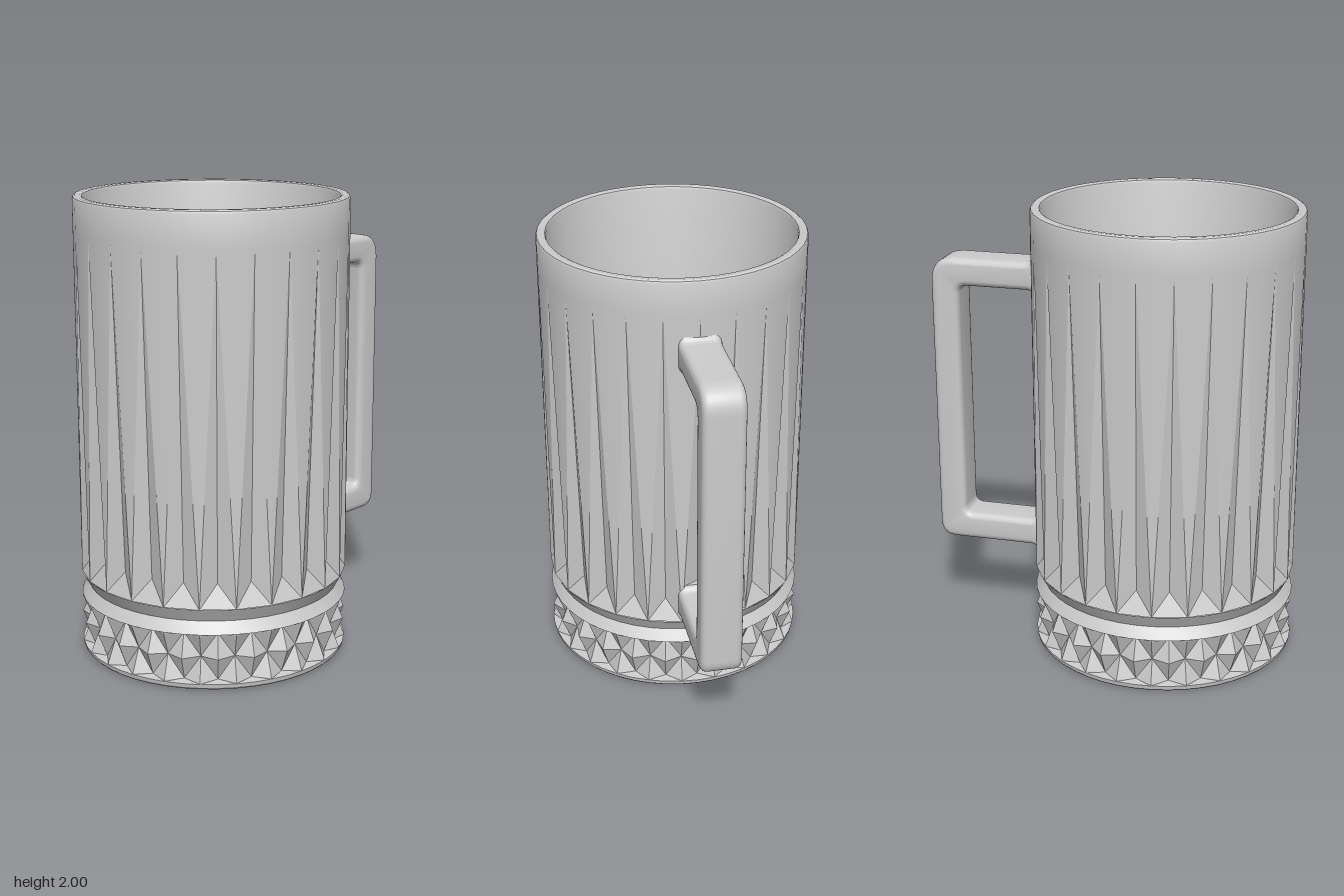
import * as THREE from 'three';
import { toCreasedNormals } from 'three/addons/utils/BufferGeometryUtils.js';

const R = 0.585;        // outer radius of the body
const N = 24;           // flutes around the body
const CX = -0.235;      // body axis
const material = new THREE.MeshStandardMaterial({ color: 0xcccccc });

// Point on the body: a counts flutes around the axis, starting at the front
const at = (a, r, y) => {
  const t = (a / N) * Math.PI * 2;
  return [r * Math.sin(t), y, r * Math.cos(t)];
};

function makeMesh(name, geometry, crease) {
  const mesh = new THREE.Mesh(toCreasedNormals(geometry, crease), material);
  mesh.name = name;
  return mesh;
}

function fromTriangles(points) {
  const g = new THREE.BufferGeometry();
  g.setAttribute('position', new THREE.Float32BufferAttribute(points.flat(), 3));
  return g;
}

function lathe(name, profile, crease = 0.5) {
  const pts = profile.map(([r, y]) => new THREE.Vector2(r, y));
  return makeMesh(name, new THREE.LatheGeometry(pts, N * 2), crease);
}

// Long V-cuts that widen and deepen downwards, each closed by a sloping facet
function flutes() {
  const top = 1.85, low = 0.36, p = [];
  for (let k = 0; k < N; k++) {
    const tip = at(k, R, top), valley = at(k, R - 0.045, 0.46);
    const left = at(k - 0.5, R, low), right = at(k + 0.5, R, low);
    const mid = at(k + 0.5, R, top), next = at(k + 1, R, top);
    p.push(tip, left, valley, tip, valley, right, left, right, valley);
    p.push(tip, right, mid, mid, right, next);
  }
  return makeMesh('flutedWall', fromTriangles(p), 0.2);
}

// Band of small pyramids divided by crossing diagonal grooves
function diamondBand() {
  const ys = [0.03, 0.037, 0.14, 0.243, 0.25], p = [];
  const sunk = (j, row) => row > 0 && row < 4 && (j + row) % 2 === 1;
  const v = (j, row) => at(j / 2, sunk(j, row) ? R - 0.042 : R, ys[row]);
  for (let row = 0; row < 4; row++) {
    for (let j = 0; j < N * 2; j++) {
      const a = v(j, row), b = v(j + 1, row), c = v(j + 1, row + 1), d = v(j, row + 1);
      if (sunk(j, row) || sunk(j + 1, row + 1)) p.push(a, b, c, a, c, d);
      else p.push(a, b, d, b, c, d);
    }
  }
  return makeMesh('diamondBand', fromTriangles(p), 0.1);
}

// Squared loop with rounded corners and small flares at the wall
function handle() {
  const s = new THREE.Shape();
  s.moveTo(0.31, 1.765);
  s.lineTo(0.342, 1.765);
  s.quadraticCurveTo(0.352, 1.732, 0.39, 1.732);
  s.lineTo(0.7, 1.732);
  s.quadraticCurveTo(0.815, 1.732, 0.815, 1.62);
  s.lineTo(0.815, 0.47);
  s.quadraticCurveTo(0.815, 0.395, 0.74, 0.395);
  s.lineTo(0.38, 0.395);
  s.quadraticCurveTo(0.35, 0.395, 0.342, 0.37);
  s.lineTo(0.295, 0.37);
  s.lineTo(0.295, 0.55);
  s.lineTo(0.342, 0.55);
  s.quadraticCurveTo(0.35, 0.522, 0.38, 0.522);
  s.lineTo(0.65, 0.522);
  s.quadraticCurveTo(0.688, 0.522, 0.688, 0.56);
  s.lineTo(0.688, 1.57);
  s.quadraticCurveTo(0.688, 1.607, 0.65, 1.607);
  s.lineTo(0.38, 1.607);
  s.quadraticCurveTo(0.35, 1.607, 0.342, 1.58);
  s.lineTo(0.31, 1.58);
  s.closePath();
  const b = 0.03, width = 0.18;
  const g = new THREE.ExtrudeGeometry(s, {
    depth: width - 2 * b, bevelThickness: b, bevelSize: b, bevelOffset: -b,
    bevelSegments: 5, curveSegments: 10,
  });
  g.translate(0, 0, b - width / 2);
  return makeMesh('handle', g, 0.6);
}

export function createModel() {
  const model = new THREE.Group();
  model.name = 'mug';

  const body = new THREE.Group();
  body.name = 'body';
  body.position.x = CX;

  // Plain upper wall, rounded rim, tapering inside and filleted floor
  const inside = [[R, 1.85], [R, 1.985], [0.581, 1.995], [0.573, 2], [0.553, 2],
    [0.545, 1.996], [0.541, 1.985], [0.5, 0.34]];
  for (let i = 1; i <= 10; i++) {
    const t = (i / 10) * Math.PI / 2;
    inside.push([0.36 + 0.14 * Math.cos(t), 0.34 - 0.16 * Math.sin(t)]);
  }
  inside.push([0, 0.18]);

  body.add(
    lathe('rimAndInside', inside),
    flutes(),
    lathe('neckGroove', [[R, 0.25], [0.553, 0.3], [R, 0.36]], 0.3),
    diamondBand(),
    // Hollowed underside and rounded foot
    lathe('foot', [[0, 0.05], [0.4, 0.045], [0.45, 0.035], [0.485, 0.012], [0.505, 0],
      [0.56, 0], [0.573, 0.004], [0.582, 0.014], [R, 0.03]]),
  );
  model.add(body, handle());
  return model;
}
